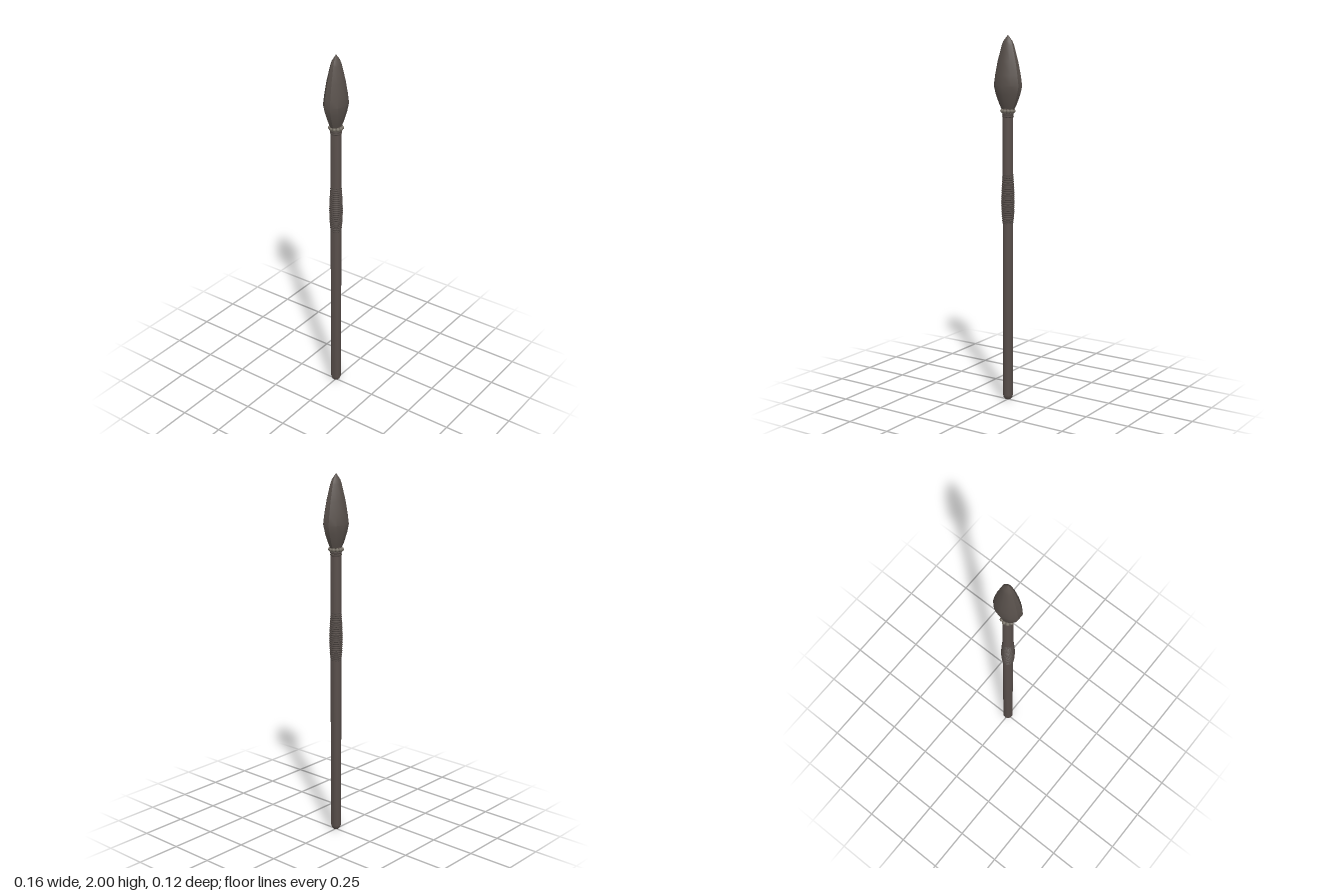
import * as THREE from 'three';
import { toCreasedNormals } from 'three/addons/utils/BufferGeometryUtils.js';

const v2 = (pairs) => pairs.map(([r, y]) => new THREE.Vector2(r, y));

export function createModel() {
  const spear = new THREE.Group();
  spear.name = 'spear';

  const material = (name, color) => {
    const m = new THREE.MeshStandardMaterial({ color });
    m.name = name;
    return m;
  };
  const wood = material('dark wood', 0x5c524e);
  const stone = material('dark stone', 0x59514c);
  const cord = material('cord', 0x544c48);
  const bone = material('bead', 0x736d63);

  const add = (parent, name, geometry, mat) => {
    const mesh = new THREE.Mesh(geometry, mat);
    mesh.name = name;
    parent.add(mesh);
    return mesh;
  };
  const group = (name) => {
    const g = new THREE.Group();
    g.name = name;
    spear.add(g);
    return g;
  };

  // Shaft with a rounded butt
  const shaftProfile = v2([[0, 0], [0.016, 0.004], [0.025, 0.015], [0.029, 0.03], [0.029, 1.62], [0, 1.62]]);
  add(spear, 'shaft', toCreasedNormals(new THREE.LatheGeometry(shaftProfile, 10), 0.8), wood);

  // Cord coils, one ring per turn, swelling by a rule
  const wrap = (name, bottom, top, radiusAt) => {
    const g = group(name);
    const turns = Math.round((top - bottom) / 0.012);
    for (let i = 0; i <= turns; i++) {
      const t = i / turns;
      const ring = add(g, 'cordTurn', new THREE.TorusGeometry(radiusAt(t) - 0.007, 0.007, 6, 16), cord);
      ring.rotation.x = Math.PI / 2;
      ring.position.y = bottom + t * (top - bottom);
    }
  };
  wrap('grip', 1.0, 1.26, (t) => 0.0305 + 0.0065 * Math.sin(Math.PI * Math.pow(t, 0.85)));
  wrap('headBinding', 1.574, 1.598, () => 0.032);

  // Ring of beads under the head
  const beads = group('beadCollar');
  const beadShape = new THREE.SphereGeometry(0.011, 10, 8);
  for (let i = 0; i < 10; i++) {
    const a = (i / 10) * Math.PI * 2;
    add(beads, 'bead', beadShape, bone).position.set(Math.sin(a) * 0.031, 1.602, Math.cos(a) * 0.031);
  }

  // Ten-sided leaf-shaped head, flattened front to back
  const headProfile = v2([
    [0, 1.605], [0.037, 1.61], [0.052, 1.64], [0.071, 1.69], [0.082, 1.735],
    [0.074, 1.79], [0.06, 1.86], [0.036, 1.945], [0.027, 1.967], [0, 2.0],
  ]);
  const headShape = new THREE.LatheGeometry(headProfile, 10);
  headShape.scale(1, 1, 0.707);
  add(spear, 'spearHead', toCreasedNormals(headShape, 0.6), stone);

  return spear;
}
